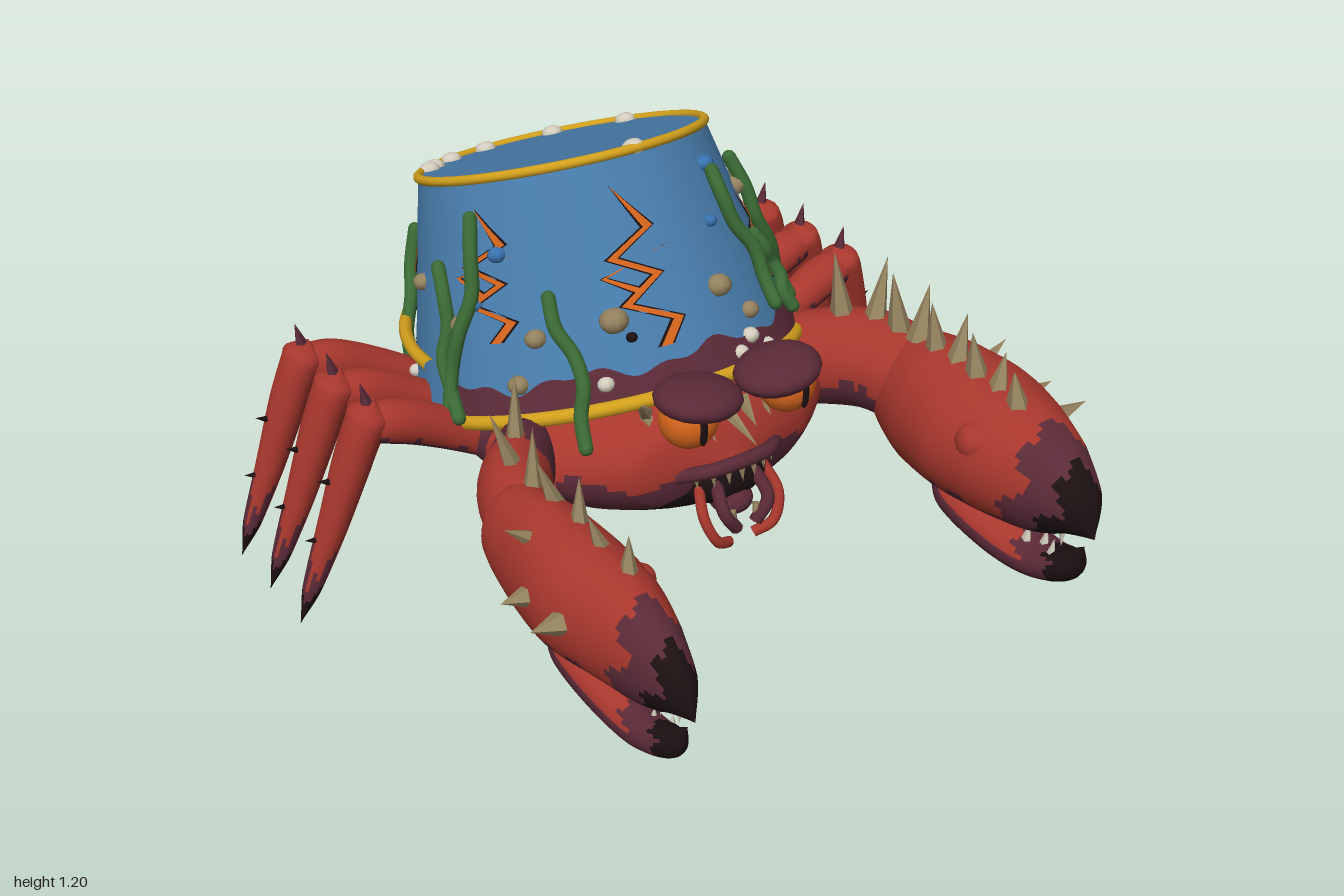
import * as THREE from 'three';

const mat = (name, color) => Object.assign(new THREE.MeshStandardMaterial({ color }), { name });
const V = (x, y, z) => new THREE.Vector3(x, y, z);
const rad = THREE.MathUtils.degToRad;

export function createModel() {
  const red = mat('crab red', 0xa8372d), maroon = mat('dark maroon', 0x5a2a37), black = mat('near black', 0x1c1011);
  const blue = mat('bucket blue', 0x487cab), gold = mat('gold trim', 0xd2a01c), green = mat('kelp green', 0x3b6b35);
  const orange = mat('glowing orange', 0xd4641c), tan = mat('horn tan', 0x95835f);
  const white = mat('barnacle white', 0xd6cfc0), azure = mat('bead blue', 0x3873b0);
  maroon.side = black.side = orange.side = THREE.DoubleSide;
  const skin = [red, maroon, black];
  const root = new THREE.Group();
  root.name = 'bucketCrab';

  const add = (parent, name, geo, material) => {
    const m = new THREE.Mesh(geo, material);
    m.name = name;
    parent.add(m);
    return m;
  };
  const group = (parent, name) => {
    const g = new THREE.Group();
    g.name = name;
    parent.add(g);
    return g;
  };
  const ball = (parent, name, material, p, sx, sy = sx, sz = sx, seg = 20) => {
    const m = add(parent, name, new THREE.SphereGeometry(1, seg, Math.ceil(seg * 0.6)), material);
    m.position.copy(p);
    m.scale.set(sx, sy, sz);
    return m;
  };
  // Faceted thorn whose base sits at p
  const spike = (parent, p, dir, len, r, material = tan) => {
    const geo = new THREE.ConeGeometry(r, len, 5).translate(0, len / 2, 0).toNonIndexed();
    geo.computeVertexNormals();
    const m = add(parent, 'spike', geo, material);
    m.position.copy(p);
    m.quaternion.setFromUnitVectors(V(0, 1, 0), dir.clone().normalize());
  };
  const tube = (parent, name, material, pts, r, seg = 24) =>
    add(parent, name, new THREE.TubeGeometry(new THREE.CatmullRomCurve3(pts), seg, r, 8), material);

  // Smooth limb through [x, y, z, halfWidth, halfHeight]; paint(t, angle) picks a skin colour
  const loft = (parent, name, secs, paint, rings = 40, sides = 28) => {
    const path = new THREE.CatmullRomCurve3(secs.map(s => V(s[0], s[1], s[2])));
    const size = new THREE.CatmullRomCurve3(secs.map(s => V(s[3], s[4], 0)));
    const pos = [], faces = [[], [], []];
    for (let i = 0; i <= rings; i++) {
      const t = i / rings, c = path.getPoint(t), s = size.getPoint(t), dir = path.getTangent(t);
      const side = dir.clone().cross(V(0, 1, 0)).normalize(), up = side.clone().cross(dir);
      for (let j = 0; j < sides; j++) {
        const a = j / sides * Math.PI * 2;
        const p = c.clone().addScaledVector(side, Math.cos(a) * Math.max(s.x, 0.001))
          .addScaledVector(up, Math.sin(a) * Math.max(s.y, 0.001));
        pos.push(p.x, p.y, p.z);
        if (i === rings) continue;
        const k = (j + 1) % sides, A = i * sides + j, B = A + sides, C = i * sides + k, D = C + sides;
        faces[paint(t, a)].push(A, B, C, B, D, C);
      }
    }
    const geo = new THREE.BufferGeometry();
    geo.setAttribute('position', new THREE.Float32BufferAttribute(pos, 3));
    geo.setIndex(faces.flat());
    let start = 0;
    faces.forEach((f, i) => { geo.addGroup(start, f.length, i); start += f.length; });
    geo.computeVertexNormals();
    return add(parent, name, geo, skin);
  };
  const jag = a => 0.035 * Math.sin(3 * a + 1) + 0.025 * Math.sin(7 * a);

  // Body: maroon underneath, black under the mouth
  loft(root, 'body', [[0, 0.35, -0.87, 0, 0], [0, 0.37, -0.78, 0.24, 0.09], [0, 0.43, -0.4, 0.5, 0.18],
    [0, 0.455, -0.08, 0.51, 0.19], [0, 0.46, 0.09, 0.42, 0.18], [0, 0.46, 0.2, 0.28, 0.14], [0, 0.46, 0.27, 0, 0]],
    (t, a) => {
      const low = Math.sin(a) + 4 * jag(a + t * 5);
      if (t > 0.62 && low < -0.45 && Math.abs(Math.cos(a)) < 0.65) return 2;
      return t < 0.45 || low < -0.2 ? 1 : 0;
    }, 48, 48);

  // Face: eyes, lids, mouth
  const face = group(root, 'face');
  for (const s of [-1, 1]) {
    ball(face, 'eye', orange, V(s * 0.155, 0.65, 0.265), 0.078);
    ball(face, 'pupil', black, V(s * 0.16, 0.65, 0.336), 0.012, 0.045, 0.012);
    ball(face, 'eyelid', maroon, V(s * 0.125, 0.7, 0.265), 0.12, 0.05, 0.108).rotation.z = s * 0.12;
    spike(face, V(s * 0.22, 0.64, 0.17), V(s * 0.5, 0.6, 0.5), 0.09, 0.02);
    tube(face, 'mandible', red, [V(s * 0.1, 0.42, 0.23), V(s * 0.12, 0.34, 0.29), V(s * 0.09, 0.27, 0.31), V(s * 0.04, 0.24, 0.29)], 0.015);
    tube(face, 'innerMandible', maroon, [V(s * 0.06, 0.42, 0.25), V(s * 0.07, 0.35, 0.31), V(s * 0.03, 0.29, 0.31)], 0.018);
    spike(face, V(s * 0.04, 0.34, 0.3), V(-s * 0.3, -1, 0.2), 0.06, 0.012);
  }
  ball(face, 'mouth', black, V(0, 0.4, 0.22), 0.13, 0.07, 0.06);
  ball(face, 'chin', maroon, V(0, 0.34, 0.24), 0.06, 0.04, 0.06);
  tube(face, 'lip', maroon, [V(-0.16, 0.45, 0.22), V(-0.09, 0.475, 0.28), V(0.09, 0.475, 0.28), V(0.16, 0.45, 0.22)], 0.02);
  for (let i = -3; i <= 3; i++) {
    spike(face, V(i * 0.04, 0.462, 0.285 - i * i * 0.004), V(0, -1, 0.2), 0.045, 0.011);
    spike(face, V(i * 0.065, 0.6, 0.2 - i * i * 0.008), V(0, i ? -0.8 : -0.3, 1), i ? 0.09 : 0.16, 0.022);
  }

  // Claws: s is the side, w and h scale the palm
  const claw = (name, s, w, h) => {
    const g = group(root, name), big = w === 1;
    const scaled = secs => secs.map(([x, y, z, rw, rh]) => [s * x, 0.44 + (y - 0.44) * h, z, rw * w, rh * h]);
    const armPaint = big ? (t, a) => Math.sin(a) < -0.25 + 4 * jag(a + t * 4) ? 1 : 0
      : (t, a) => t < 0.5 + jag(a) || Math.sin(a) < -0.4 ? 1 : 0;
    loft(g, 'arm', scaled([[0.36, 0.44, -0.16, 0.09, 0.1], [0.47, 0.49, -0.02, 0.125, 0.135],
      [0.58, 0.51, 0.12, 0.14, 0.14], [0.63, 0.49, 0.3, 0.13, 0.13]]), armPaint);
    loft(g, 'palm', scaled([[0.63, 0.49, 0.14, 0, 0], [0.635, 0.485, 0.2, 0.13, 0.145], [0.63, 0.465, 0.35, 0.175, 0.195],
      [0.63, 0.46, 0.5, 0.2, 0.19], [0.62, 0.455, 0.65, 0.175, 0.175], [0.62, 0.435, 0.78, 0.125, 0.15],
      [0.62, 0.405, 0.88, 0.075, 0.09], [0.62, 0.36, 0.95, 0, 0]]),
      (t, a) => t > 0.8 + jag(a) ? 2 : t > 0.67 + jag(a) || Math.sin(a) < -0.7 + 3 * jag(t * 9) ? 1 : 0, 56, 36);
    loft(g, 'lowerFinger', scaled([[0.63, 0.33, 0.36, 0.03, 0.03], [0.63, 0.25, 0.48, 0.1, 0.07], [0.63, 0.205, 0.64, 0.09, 0.065],
      [0.63, 0.2, 0.77, 0.075, 0.055], [0.625, 0.24, 0.87, 0.05, 0.045], [0.62, 0.32, 0.92, 0, 0]]),
      (t, a) => t > 0.72 + jag(a) ? 2 : t > 0.52 + jag(a) || Math.sin(a) < 0.1 ? 1 : 0);
    for (let i = 0; i < 3; i++) {
      spike(g, V(s * (0.6 + 0.02 * (i % 2)), 0.25, 0.74 + i * 0.045), V(0, 1, 0.1), 0.055, 0.014, white);
      spike(g, V(s * (0.6 + 0.02 * (i % 2)), 0.36, 0.77 + i * 0.045), V(0, -1, 0), 0.065, 0.014, white);
    }
    // Ridge thorns, longest near the elbow
    const n = big ? 9 : 7;
    for (let i = 0; i < n; i++) {
      const z = 0.04 + i * 0.62 / (n - 1), lift = z > 0.55 ? 0.17 : 0.19;
      spike(g, V(s * (0.6 - 0.1 * Math.max(0, 0.15 - z) / 0.15), 0.44 + lift * h, z),
        V(s * (i % 2 ? 0.3 : -0.1), 1, -0.12), (0.2 - 0.09 * z / 0.66) * (big ? 1 : 0.9), big ? 0.035 : 0.025);
    }
    // Outer and inner thorns
    for (const z of [0.47, 0.6]) spike(g, V(s * (0.63 + 0.175 * w), 0.48, z), V(s, 0.1, 0), big ? 0.12 : 0.08, 0.032);
    spike(g, V(s * (0.63 + 0.1 * w), 0.58, 0.4), V(s, 0.7, 0), 0.09, 0.022);
    ball(g, 'knuckle', red, V(s * (0.63 - 0.13 * w), 0.53, 0.62), 0.055 * w);
  };
  claw('bigClaw', 1, 1, 1);
  claw('smallClaw', -1, 0.68, 0.88);

  // Walking legs
  for (const s of [-1, 1]) for (const z of [-0.26, -0.45, -0.64]) {
    const g = group(root, 'leg');
    loft(g, 'thigh', [[s * 0.4, 0.41, z + 0.03, 0.05, 0.05], [s * 0.58, 0.51, z, 0.055, 0.058],
      [s * 0.7, 0.565, z - 0.01, 0.062, 0.06], [s * 0.79, 0.58, z - 0.02, 0.05, 0.05]],
      (t, a) => Math.sin(a) < -0.4 + 3 * jag(a + t * 6) ? 1 : 0, 20, 18);
    loft(g, 'shin', [[s * 0.755, 0.645, z - 0.02, 0, 0], [s * 0.775, 0.6, z - 0.02, 0.065, 0.055], [s * 0.82, 0.48, z - 0.035, 0.062, 0.052],
      [s * 0.89, 0.28, z - 0.055, 0.046, 0.04], [s * 0.96, 0.1, z - 0.07, 0.027, 0.025], [s * 0.998, 0, z - 0.078, 0, 0]],
      (t, a) => t > 0.82 + jag(a) ? 2 : t > 0.7 + 1.5 * jag(a) ? 1 : 0, 40, 18);
    spike(g, V(s * 0.775, 0.635, z - 0.02), V(s * 0.2, 1, 0), 0.07, 0.018, maroon);
    spike(g, V(s * 0.87, 0.42, z - 0.045), V(s, 0.4, 0), 0.055, 0.015, black);
    spike(g, V(s * 0.92, 0.25, z - 0.06), V(s, 0.3, 0), 0.05, 0.013, black);
  }

  // Tilted upside-down bucket worn as a shell
  const H = 0.613, R0 = 0.545, R1 = 0.4;
  const bucket = group(root, 'bucket');
  bucket.position.set(0, 0.475, -0.355);
  bucket.rotation.x = -0.34;
  const at = (deg, h, off = 0) => {
    const r = R0 + (R1 - R0) * h / H + off;
    return V(Math.sin(rad(deg)) * r, h, Math.cos(rad(deg)) * r);
  };
  add(bucket, 'pail', new THREE.CylinderGeometry(R1, R0, H, 48).translate(0, H / 2, 0), [blue, blue, maroon]);
  const ring = (name, r, t, y) => {
    const m = add(bucket, name, new THREE.TorusGeometry(r, t, 10, 48), gold);
    m.rotation.x = Math.PI / 2;
    m.position.y = y;
  };
  ring('baseRing', R1, 0.013, H);
  ring('rim', R0, 0.02, 0);
  const bail = [];
  for (let i = 0; i <= 16; i++) {
    const a = i / 16 * Math.PI;
    bail.push(V(0.535 * Math.cos(a), 0.145 + 0.147 * Math.sin(a), 0.02 - 0.535 * Math.sin(a)));
  }
  tube(bucket, 'handle', gold, bail, 0.018, 48);

  // Surface strip between two rows of points
  const strip = (name, material, low, high) => {
    const pos = [], idx = [];
    low.forEach((p, i) => {
      pos.push(...p.toArray(), ...high[i].toArray());
      if (i) idx.push(2 * i - 2, 2 * i, 2 * i - 1, 2 * i, 2 * i + 1, 2 * i - 1);
    });
    const geo = new THREE.BufferGeometry();
    geo.setAttribute('position', new THREE.Float32BufferAttribute(pos, 3));
    geo.setIndex(idx);
    geo.computeVertexNormals();
    add(bucket, name, geo, material);
  };
  for (const [a0, a1, top] of [[-78, 78, 0.085], [125, 235, 0.07]]) {
    const low = [], high = [];
    for (let a = a0; a <= a1; a += 2) {
      low.push(at(a, 0, 0.005));
      high.push(at(a, top + 0.4 * jag(rad(a) * 3), 0.005));
    }
    strip('stainBand', maroon, low, high);
  }

  // Zigzag cracks with dark edges: [angle, bottom, top]
  const zig = [1, 6, -6, 4, -7, 5, 1, -3];
  for (const [a, h0, h1] of [[-12, 0.12, 0.54], [48, 0.1, 0.42], [-62, 0.2, 0.54], [142, 0.2, 0.5], [-128, 0.1, 0.46]]) {
    for (const [m, w, off] of [[black, 2.6, 0.004], [orange, 1.7, 0.008]]) {
      const row = (k, turn = 1, n = 8, hA = h0, hB = h1) => zig.slice(0, n).map((d, i) =>
        at(a + turn * d * 1.2 + k * w * Math.min(1, (n - 1 - i) * 0.5), hA + (hB - hA) * i / (n - 1), off));
      strip('crack', m, row(-1), row(1));
      const mid = h0 + (h1 - h0) * 0.35;
      strip('crackBranch', m, row(-1, -1.7, 3, mid, mid + 0.1), row(1, -1.7, 3, mid, mid + 0.1));
    }
  }

  // Kelp strands: [angle, top, bottom, sideways drift]
  for (const [a, h1, h0, d] of [[-40, 0.3, -0.08, 4], [28, 0.5, 0.12, 6], [52, 0.5, 0.06, 18], [42, 0.3, 0.08, 4],
    [-64, 0.52, 0.04, -14], [-82, 0.4, 0.02, 6], [113, 0.46, -0.16, -4], [-128, 0.46, 0.02, 8], [158, 0.33, 0.05, -8]]) {
    const pts = [0, 1, 2, 3, 4, 5].map(i =>
      at(a + d * i / 5 + 2.2 * Math.sin(i * 1.5 + a), h1 + (h0 - h1) * i / 5, 0.02 + 0.008 * (i % 2)));
    tube(bucket, 'kelp', green, pts, 0.02, 30);
    for (const i of [0, 5]) ball(bucket, 'kelpTip', green, pts[i], 0.02, 0.02, 0.02, 8);
  }

  // Barnacles and beads: [angle, height, radius]
  const studs = (name, material, list) => list.forEach(([a, h, r]) =>
    ball(bucket, name, material, at(a, h), r, r * 0.85, r, 10));
  studs('barnacle', tan, [[-24, 0.21, 0.04], [13, 0.22, 0.036], [55, 0.42, 0.032], [-48, 0.2, 0.03], [75, 0.42, 0.03],
    [125, 0.45, 0.025], [140, 0.2, 0.028], [62, 0.15, 0.025], [-75, 0.25, 0.03], [-100, 0.35, 0.028], [180, 0.4, 0.025],
    [-150, 0.35, 0.028], [22, 0.13, 0.028], [-55, 0.09, 0.03]]);
  studs('whiteBarnacle', white, [[12, 0.04, 0.024], [18, 0.07, 0.026], [24, 0.03, 0.022], [-30, 0.06, 0.024], [130, 0.09, 0.026],
    [138, 0.06, 0.022], [165, 0.1, 0.026], [195, 0.08, 0.024], [212, 0.1, 0.026], [-110, 0.1, 0.022]]);
  studs('bead', azure, [[30, 0.52, 0.028], [20, 0.38, 0.02], [-58, 0.42, 0.026], [-68, 0.3, 0.022], [145, 0.36, 0.024],
    [150, 0.1, 0.028], [185, 0.2, 0.022], [-140, 0.25, 0.024], [100, 0.1, 0.022]]);
  studs('darkHole', black, [[-20, 0.16, 0.016], [60, 0.33, 0.016], [155, 0.06, 0.018], [204, 0.09, 0.018], [85, 0.2, 0.016]]);
  for (const a of [0, 120, 154, 186, 207, 222, 229]) ball(bucket, 'topBarnacle', white, at(a, H, -0.02), 0.032, 0.024, 0.032, 10);

  return root;
}
